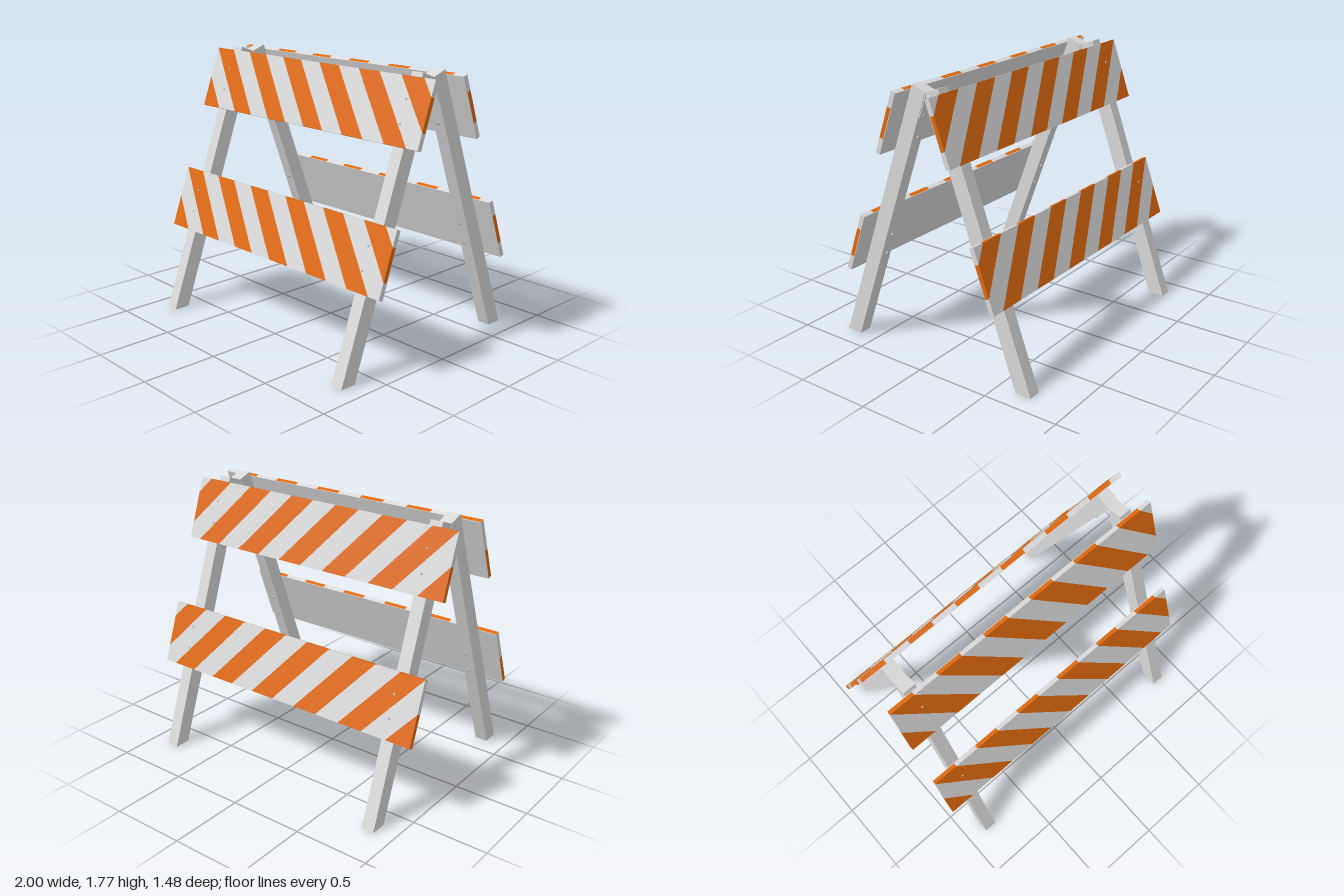
import * as THREE from 'three';

const white = new THREE.MeshStandardMaterial({ color: 0xd9d9d9 });
white.name = 'white';
const orange = new THREE.MeshStandardMaterial({ color: 0xde690f });
orange.name = 'orange';
const steel = new THREE.MeshStandardMaterial({ color: 0xbfbfbf });
steel.name = 'steel';

const TILT = THREE.MathUtils.degToRad(20);
const APEX = 1.73;
const LEG_X = 0.827, LEG_W = 0.085, LEG_D = 0.103;
const BOARD_H = 0.413, BOARD_T = 0.032, BACKING = 0.004;
const PITCH = 0.348;            // one orange plus one white stripe

function add(parent, name, geometry, material, x = 0, y = 0, z = 0) {
  const mesh = new THREE.Mesh(geometry, material);
  mesh.name = name;
  mesh.position.set(x, y, z);
  parent.add(mesh);
  return mesh;
}

// Keep the part of a convex polygon where side * x <= 1
function clip(points, side) {
  const out = [];
  points.forEach((a, i) => {
    const b = points[(i + 1) % points.length];
    const da = 1 - side * a.x, db = 1 - side * b.x;
    if (da >= 0) out.push(a);
    if (da * db < 0) out.push(a.clone().lerp(b, da / (da - db)));
  });
  return out;
}

// Board with slanted stripes through its thickness and a plain back
function makeBoard(flip) {
  const board = new THREE.Group();
  board.name = 'board';
  add(board, 'boardBack', new THREE.BoxGeometry(2, BOARD_H, BACKING), white, 0, -BOARD_H / 2, BACKING / 2);
  for (let k = -2; k < 12; k++) {
    const a = -1 + k * PITCH / 2, b = a + PITCH / 2;
    let points = [[a, 0], [b, 0], [b + PITCH, -BOARD_H], [a + PITCH, -BOARD_H]]
      .map(([x, y]) => new THREE.Vector2(x, y));
    points = clip(clip(points, 1), -1);
    if (points.length < 3) continue;
    points.forEach(p => { p.x *= flip; });
    const geometry = new THREE.ExtrudeGeometry(new THREE.Shape(points),
      { depth: BOARD_T - BACKING, bevelEnabled: false });
    const isOrange = k % 2 === 0;
    add(board, isOrange ? 'orangeStripe' : 'whiteStripe', geometry, isOrange ? orange : white, 0, 0, BACKING);
  }
  return board;
}

// Leg cut level at the ground and square at the top
function legGeometry() {
  const foot = z => -(APEX + z * Math.sin(TILT)) / Math.cos(TILT);
  const shape = new THREE.Shape([
    new THREE.Vector2(0, 0), new THREE.Vector2(0, foot(0)),
    new THREE.Vector2(LEG_D, foot(LEG_D)), new THREE.Vector2(LEG_D, 0),
  ]);
  return new THREE.ExtrudeGeometry(shape, { depth: LEG_W, bevelEnabled: false })
    .translate(0, 0, -LEG_W / 2).rotateY(-Math.PI / 2);
}

// One leaning frame: local y runs up the legs, local z points outward
function makeFrame(flip) {
  const frame = new THREE.Group();
  const leg = legGeometry();
  const head = new THREE.CylinderGeometry(0.006, 0.008, 0.004, 10).rotateX(Math.PI / 2);
  const nut = new THREE.CylinderGeometry(0.011, 0.011, 0.01, 6).rotateX(Math.PI / 2);
  const leaf = new THREE.BoxGeometry(0.075, 0.15, 0.006);

  for (const side of [-1, 1]) {
    add(frame, 'leg', leg, white, side * LEG_X);
    add(frame, 'hingeLeaf', leaf, white, side * LEG_X, -0.1, -0.003);
  }
  for (const top of [-0.033, -0.9]) {
    const board = makeBoard(flip);
    board.position.set(0, top, LEG_D);
    frame.add(board);
    // Bolts through board and leg
    for (const side of [-1, 1]) for (const drop of [0.135, 0.282]) {
      add(frame, 'boltHead', head, steel, side * 0.822, top - drop, LEG_D + BOARD_T + 0.002);
      add(frame, 'boltNut', nut, steel, side * 0.822, top - drop, -0.005);
    }
  }
  frame.position.y = APEX;
  frame.rotation.x = -TILT;
  return frame;
}

export function createModel() {
  const model = new THREE.Group();
  model.name = 'folding barricade';

  const front = makeFrame(1);
  front.name = 'frontFrame';
  model.add(front);

  // Rear frame is turned around, with its stripes mirrored
  const rear = new THREE.Group();
  rear.name = 'rearFrame';
  rear.rotation.y = Math.PI;
  rear.add(makeFrame(-1));
  model.add(rear);

  // Hinge pins under the apex
  const pin = new THREE.CylinderGeometry(0.007, 0.007, 0.08, 12).rotateZ(Math.PI / 2);
  for (const side of [-1, 1]) add(model, 'hingePin', pin, steel, side * LEG_X, APEX - 0.012, 0);
  return model;
}
